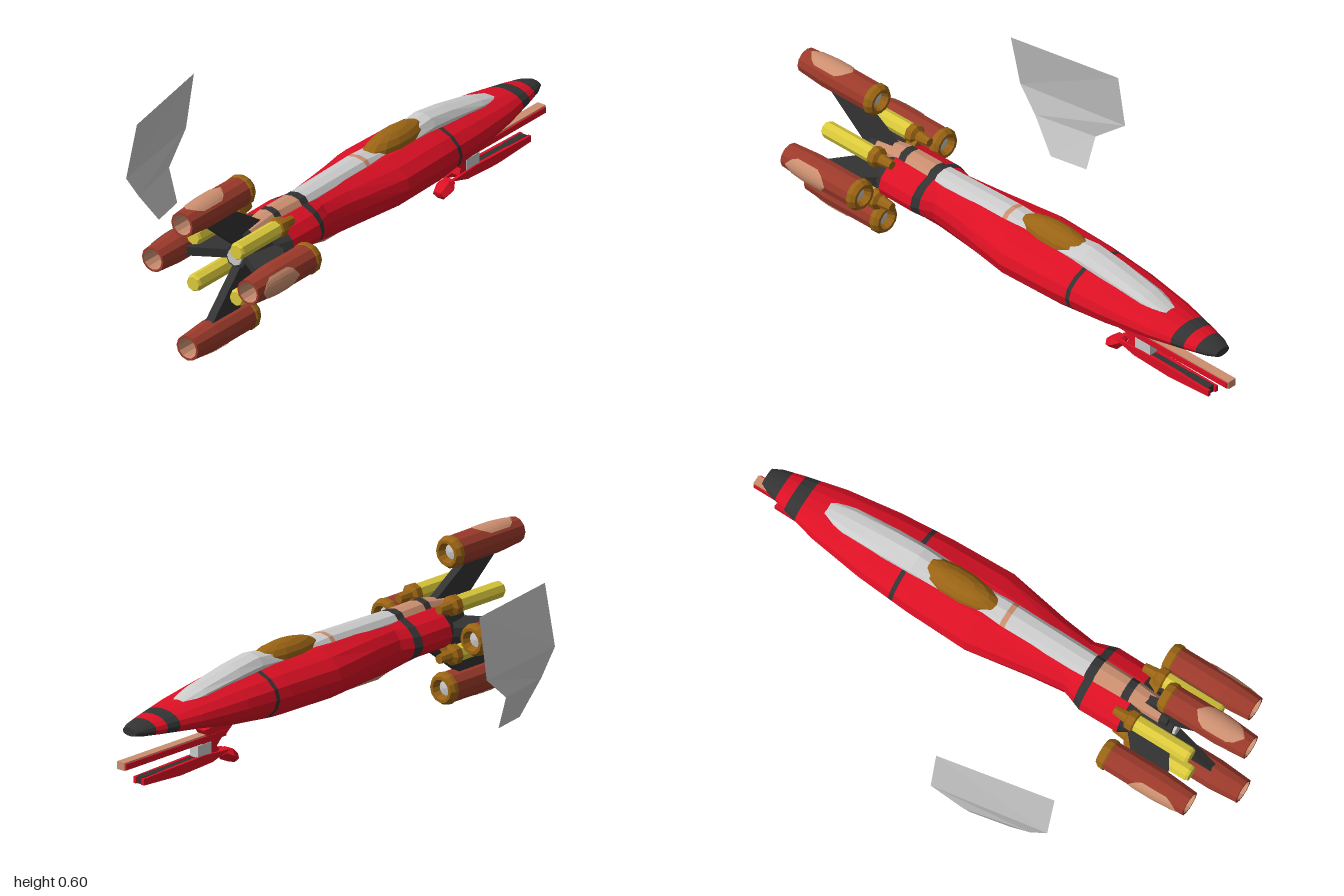
import * as THREE from 'three';
import { ParametricGeometry } from 'three/addons/geometries/ParametricGeometry.js';

const mat = (color) => new THREE.MeshStandardMaterial({ color, flatShading: true, side: THREE.DoubleSide });
const CY = 0.3, CZ = 0.2; // ship axis

export function createModel() {
  const M = {
    red: mat(0xdc1024), dark: mat(0x333333), brass: mat(0x9a6414), yellow: mat(0xdccb3c),
    rust: mat(0x9c3a2b), tan: mat(0xcc8f70), grey: mat(0xcccccc),
  };
  const model = new THREE.Group();
  const add = (name, geo, m, parent = model) => {
    const mesh = new THREE.Mesh(geo, m);
    mesh.name = name;
    parent.add(mesh);
    return mesh;
  };
  const box = (name, x0, x1, y0, y1, zHalf, m, z = CZ) =>
    add(name, new THREE.BoxGeometry(x1 - x0, y1 - y0, zHalf * 2)
      .translate((x0 + x1) / 2, (y0 + y1) / 2, z), m);

  // flat plate cut from an outline in x/y, centred on z = 0
  const plate = (pts, depth) =>
    new THREE.ExtrudeGeometry(new THREE.Shape(pts.map((p) => new THREE.Vector2(...p))), { depth, bevelEnabled: false })
      .translate(0, 0, -depth / 2);

  // turned part along x; points are [x, radius]
  const turned = (pts, sides) =>
    new THREE.LatheGeometry(pts.map(([x, r]) => new THREE.Vector2(r, x)), sides).rotateZ(-Math.PI / 2);

  // skin through oval rings [x, halfWidth, up, down, centreY]; power < 1 squares them off
  const loft = (stations, sides, power = 1) => {
    const pos = [], idx = [];
    const shape = (v) => Math.sign(v) * Math.abs(v) ** power;
    for (const [x, w, up, down, cy] of stations) {
      for (let k = 0; k < sides; k++) {
        const t = (k / sides) * Math.PI * 2, s = shape(Math.sin(t));
        pos.push(x, cy + s * (s > 0 ? up : down), CZ + w * shape(Math.cos(t)));
      }
    }
    const n = stations.length;
    for (let i = 0; i < n - 1; i++) {
      for (let k = 0; k < sides; k++) {
        const a = i * sides + k, b = i * sides + (k + 1) % sides;
        idx.push(a, a + sides, b, b, a + sides, b + sides);
      }
    }
    for (let k = 1; k < sides - 1; k++) {
      const e = (n - 1) * sides;
      idx.push(0, k, k + 1, e, e + k + 1, e + k);
    }
    const g = new THREE.BufferGeometry();
    g.setAttribute('position', new THREE.Float32BufferAttribute(pos, 3));
    g.setIndex(idx);
    g.computeVertexNormals();
    return g;
  };
  // cut a run of stations into coloured bands
  const bands = (name, stations, cuts, sides, power) => {
    const at = (x) => {
      const i = Math.max(1, stations.findIndex((s) => s[0] >= x));
      const a = stations[i - 1], b = stations[i], t = (x - a[0]) / (b[0] - a[0]);
      return a.map((v, j) => v + (b[j] - v) * t);
    };
    cuts.forEach(([x0, x1, m]) => {
      const inner = stations.filter((s) => s[0] > x0 + 1e-4 && s[0] < x1 - 1e-4);
      add(name, loft([at(x0), ...inner, at(x1)], sides, power), m);
    });
  };

  // fuselage
  bands('hull', [
    [-0.58, 0.1, 0.07, 0.055, CY], [-0.54, 0.128, 0.09, 0.068, CY], [-0.39, 0.13, 0.09, 0.068, CY],
    [-0.31, 0.1, 0.092, 0.1, CY], [-0.18, 0.117, 0.095, 0.104, CY], [0.06, 0.16, 0.097, 0.105, CY],
    [0.3, 0.152, 0.095, 0.104, CY], [0.5, 0.136, 0.08, 0.083, CY], [0.7, 0.107, 0.055, 0.05, CY],
    [0.85, 0.07, 0.036, 0.032, CY], [0.92, 0.05, 0.025, 0.023, CY], [0.955, 0.032, 0.014, 0.015, CY],
  ], [
    [-0.58, -0.54, M.dark], [-0.54, -0.39, M.red], [-0.39, -0.36, M.dark], [-0.36, 0.355, M.red],
    [0.355, 0.372, M.dark], [0.372, 0.79, M.red], [0.79, 0.84, M.dark], [0.84, 0.885, M.red], [0.885, 0.955, M.dark],
  ], 16);

  // raised spine, canopy and belly keel
  bands('spine', [
    [-0.68, 0.036, 0.04, 0.05, 0.345], [-0.53, 0.046, 0.063, 0.05, 0.347], [-0.35, 0.052, 0.06, 0.05, 0.347],
    [-0.02, 0.058, 0.066, 0.05, 0.347], [0.06, 0.058, 0.06, 0.05, 0.347], [0.24, 0.06, 0.072, 0.05, 0.347],
    [0.34, 0.062, 0.084, 0.05, 0.347], [0.45, 0.062, 0.07, 0.05, 0.345], [0.62, 0.055, 0.043, 0.04, 0.338],
    [0.715, 0.036, 0.018, 0.02, 0.334],
  ], [
    [-0.68, -0.65, M.dark], [-0.65, -0.53, M.tan], [-0.53, -0.5, M.dark], [-0.5, -0.39, M.tan],
    [-0.39, -0.355, M.dark], [-0.355, -0.035, M.grey], [-0.035, -0.015, M.tan], [-0.015, 0.715, M.grey],
  ], 12, 0.75);
  add('canopy', new THREE.SphereGeometry(1, 14, 8).scale(0.172, 0.056, 0.058).translate(0.18, 0.385, CZ), M.brass);
  add('keel', loft([[-0.34, 0.03, 0.02, 0.02, 0.22], [-0.26, 0.05, 0.03, 0.032, 0.22],
    [0.3, 0.05, 0.03, 0.03, 0.22], [0.43, 0.03, 0.02, 0.012, 0.225]], 8, 0.7), M.tan);

  // tail core
  add('tailCore', turned([[-0.7, 0], [-0.7, 0.045], [-0.66, 0.06], [-0.54, 0.085]], 8).translate(0, CY, CZ), M.dark);
  add('tailPlate', turned([[-0.71, 0], [-0.71, 0.03], [-0.69, 0.03]], 8).translate(0, CY, CZ), M.grey);

  // four engines on swept struts: [roll, radial offset, centre x]
  const engineGeo = {
    nozzle: turned([[-0.1, 0], [-0.1, 0.035], [-0.175, 0.038]], 12),
    body: turned([[-0.175, 0.038], [-0.175, 0.046], [-0.06, 0.055], [0.14, 0.054]], 12),
    ring: turned([[0.14, 0.054], [0.145, 0.058], [0.16, 0.057], [0.175, 0.047], [0.175, 0.036], [0.15, 0.026]], 12),
    intake: turned([[0.15, 0.026], [0.155, 0]], 12),
    patch: new ParametricGeometry((u, v, p) => {
      const a = (v - 0.5) * 1.7 * Math.min(1, 1.7 * Math.sin(Math.PI * u) + 0.05);
      const x = -0.15 + 0.19 * u, r = 0.0565 - Math.max(0, -x - 0.06) * 0.078;
      p.set(x, r * Math.cos(a), r * Math.sin(a));
    }, 8, 8),
  };
  const engineMat = { nozzle: M.tan, body: M.rust, ring: M.brass, intake: M.grey, patch: M.tan };
  [['top', 0, 0.24, -0.825], ['bottom', Math.PI, 0.24, -0.795],
    ['left', Math.PI / 2, 0.198, -0.715], ['right', -Math.PI / 2, 0.21, -0.715]].forEach(([side, roll, r, x]) => {
    const arm = new THREE.Group();
    arm.name = side + 'EngineArm';
    arm.position.set(0, CY, CZ);
    arm.rotation.x = roll;
    const engine = new THREE.Group();
    engine.name = side + 'Engine';
    engine.position.set(x, r, 0);
    for (const part in engineGeo) add(part, engineGeo[part], engineMat[part], engine);
    arm.add(engine);
    add('strut', plate([[-0.7, 0.04], [-0.54, 0.07], [x + 0.09, r - 0.045], [x - 0.06, r - 0.045]], 0.032), M.dark, arm);
    model.add(arm);
  });

  // four diagonal tanks with brass collars
  for (const sy of [-1, 1]) for (const sz of [-1, 1]) {
    const tank = new THREE.Group();
    tank.name = 'tank';
    tank.position.set(0, CY + 0.004 + sy * 0.088, CZ + sz * 0.092);
    add('tankBody', turned([[-0.82, 0], [-0.82, 0.026], [-0.81, 0.031], [-0.59, 0.031]], 8), M.yellow, tank);
    add('tankCollar', turned([[-0.6, 0.031], [-0.595, 0.037], [-0.57, 0.037], [-0.56, 0.022], [-0.51, 0.016], [-0.51, 0]], 8), M.brass, tank);
    const clamp = add('tankClamp', new THREE.BoxGeometry(0.04, 0.02, 0.07), M.brass, tank);
    clamp.position.set(-0.57, -sy * 0.02, -sz * 0.02);
    clamp.rotation.x = -sy * sz * Math.PI / 4;
    model.add(tank);
  }

  // chin guns: hanger, two rails with side plates, and a small pod
  add('gunHanger', plate([[0.42, 0.235], [0.6, 0.22], [0.58, 0.19], [0.53, 0.17], [0.49, 0.18]], 0.04).translate(0, 0, CZ), M.red);
  add('gunLink', plate([[0.49, 0.19], [0.6, 0.18], [0.62, 0.125], [0.52, 0.125], [0.53, 0.15]], 0.032).translate(0, 0, CZ), M.red);
  box('upperBarrel', 0.5, 1.0, 0.175, 0.203, 0.017, M.tan);
  box('lowerBarrel', 0.54, 0.9, 0.1, 0.128, 0.014, M.dark);
  for (const s of [-1, 1]) {
    box('upperRail', 0.49, 0.995, 0.177, 0.198, 0.004, M.red, CZ + s * 0.018);
    add('lowerRail', plate([[0.47, 0.125], [0.56, 0.1], [0.72, 0.092], [0.91, 0.102], [0.91, 0.125], [0.6, 0.133]], 0.012)
      .translate(0, 0, CZ + s * 0.018), M.red);
  }
  box('gunSight', 0.56, 0.63, 0.13, 0.172, 0.018, M.grey);
  const pod = add('gunPod', turned([[-0.04, 0], [-0.035, 0.025], [0.005, 0.036], [0.035, 0.02], [0.04, 0]], 6).scale(1, 0.75, 1.05), M.red);
  pod.position.set(0.46, 0.098, CZ);
  pod.rotation.z = 0.5;

  // separate folded panel: rows of [y, x0, z0, x1, z1]
  const rows = [[0.578, -0.555, -0.335, -0.13, -0.418], [0.36, -0.555, -0.381, -0.13, -0.452],
    [0.265, -0.485, -0.381, -0.25, -0.432], [0.145, -0.395, -0.364, -0.255, -0.393]];
  const panel = new THREE.BufferGeometry();
  panel.setAttribute('position', new THREE.Float32BufferAttribute(
    rows.flatMap(([y, x0, z0, x1, z1]) => [x0, y, z0, x1, y, z1]), 3));
  panel.setIndex([0, 2, 4].flatMap((i) => [i, i + 2, i + 1, i + 1, i + 2, i + 3]));
  panel.computeVertexNormals();
  add('panel', panel, M.grey);

  return model;
}
